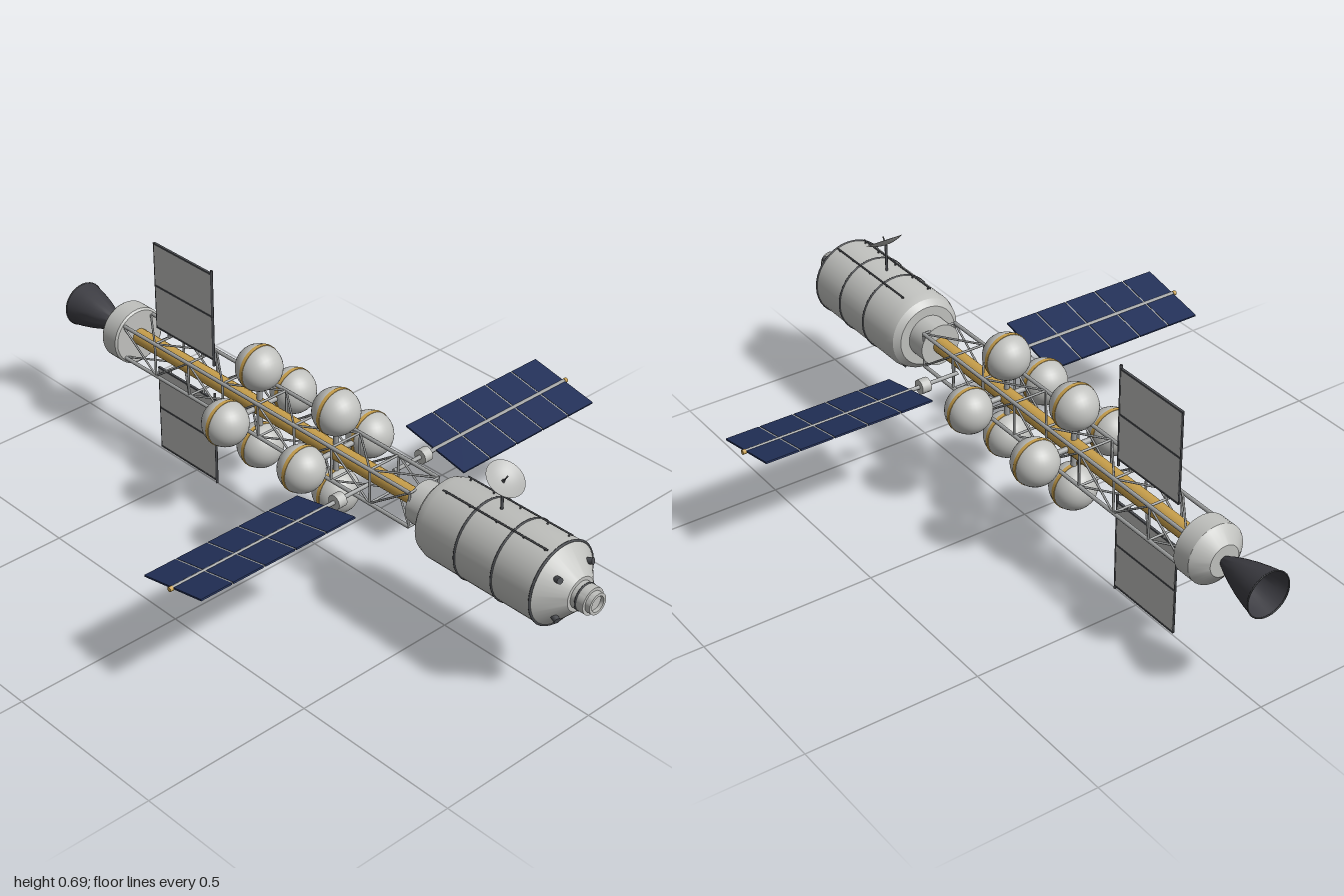
import * as THREE from 'three';
import { toCreasedNormals } from 'three/addons/utils/BufferGeometryUtils.js';

const AXIS = 0.345; // height of the ship's centre line
const mat = (name, color, side = THREE.FrontSide) => {
  const m = new THREE.MeshStandardMaterial({ color, side });
  m.name = name;
  return m;
};

export function createModel() {
  const hull = mat('hull grey', 0xc0c1be);
  const metal = mat('truss grey', 0xa2a4a4);
  const dark = mat('dark fittings', 0x4c4e52);
  const gold = mat('gold foil', 0xc9a04c);
  const navy = mat('solar blue', 0x223058);
  const radiatorGrey = mat('radiator grey', 0xbdbebc);
  const nozzleBlack = mat('nozzle black', 0x3c3c42, THREE.DoubleSide);
  const dishGrey = mat('dish grey', 0xb4b5b3, THREE.DoubleSide);

  const model = new THREE.Group();
  model.name = 'spacecraft';
  const ship = new THREE.Group();
  ship.name = 'ship';
  ship.position.y = AXIS;
  model.add(ship);

  const group = (name, parent = ship) => {
    const g = new THREE.Group();
    g.name = name;
    parent.add(g);
    return g;
  };
  const add = (parent, name, geo, material, x = 0, y = 0, z = 0) => {
    const m = new THREE.Mesh(geo, material);
    m.name = name;
    m.position.set(x, y, z);
    parent.add(m);
    return m;
  };
  const V = (x, y, z) => new THREE.Vector3(x, y, z);
  const rod = (parent, name, a, b, r, material, sides = 6) => {
    const d = b.clone().sub(a);
    const m = add(parent, name, new THREE.CylinderGeometry(r, r, d.length(), sides), material);
    m.position.copy(a).addScaledVector(d, 0.5);
    m.quaternion.setFromUnitVectors(V(0, 1, 0), d.normalize());
    return m;
  };
  // profile is [radius, z] with z rising
  const lathe = (parent, name, profile, material, sides = 40) =>
    add(parent, name, toCreasedNormals(new THREE.LatheGeometry(
      profile.map(([r, z]) => new THREE.Vector2(r, z)), sides).rotateX(Math.PI / 2), 0.4), material);
  const box = (w, h, d) => new THREE.BoxGeometry(w, h, d);

  // Crew module
  const crew = group('crewModule');
  lathe(crew, 'pressureHull', [[0, 0.405], [0.062, 0.405], [0.062, 0.47], [0.09, 0.47], [0.107, 0.485],
    [0.115, 0.51], [0.115, 0.882], [0.048, 0.945], [0, 0.945]], hull);
  lathe(crew, 'dockingPort', [[0.038, 0.94], [0.038, 0.985], [0.03, 0.985], [0.03, 1], [0.022, 1],
    [0.022, 0.99], [0, 0.99]], hull, 28);
  for (const z of [0.63, 0.755, 0.882])
    add(crew, 'hullBand', new THREE.TorusGeometry(0.1145, 0.0035, 6, 40), dark, 0, 0, z);
  add(crew, 'portRing', new THREE.TorusGeometry(0.037, 0.003, 6, 28), dark, 0, 0, 0.96);
  for (const sx of [-1, 1]) for (const sy of [-1, 1]) {
    const x = 0.045 * sx, y = 0.113 * sy;
    rod(crew, 'handrail', V(x, y, 0.52), V(x, y, 0.87), 0.0025, dark);
    for (const z of [0.53, 0.61, 0.7, 0.79, 0.86])
      rod(crew, 'railPost', V(x * 0.93, y * 0.93, z), V(x, y, z), 0.0025, dark);
    // Small thrusters on the nose cone
    rod(crew, 'thruster', V(0.052 * sx, 0.052 * sy, 0.9), V(0.06 * sx, 0.06 * sy, 0.928), 0.009, dark, 10);
  }

  // Antenna on its mast
  const antenna = group('antenna');
  rod(antenna, 'mast', V(0, 0.11, 0.677), V(0, 0.2, 0.677), 0.004, dark, 8);
  const dish = group('dishAssembly', antenna);
  dish.position.set(0, 0.196, 0.677);
  dish.rotation.x = 0.56;
  add(dish, 'dish', new THREE.LatheGeometry([0, 0.2, 0.4, 0.6, 0.8, 1].map(
    t => new THREE.Vector2(0.054 * t, 0.014 * t * t)), 28), dishGrey);
  rod(dish, 'feed', V(0, 0, 0), V(0, 0.026, 0), 0.002, dark);

  // Truss around the gold spine
  const truss = group('truss');
  const z0 = -0.75, bays = 8, bay = 1.16 / bays, h = 0.052;
  rod(truss, 'spine', V(0, 0, z0), V(0, 0, 0.41), 0.024, gold, 16);
  for (let side = 0; side < 4; side++) {
    const face = group('trussFace', truss);
    face.rotation.z = side * Math.PI / 2;
    rod(face, 'longeron', V(h, h, z0), V(h, h, 0.41), 0.0055, metal, 8);
    for (let i = 0; i <= bays; i++) {
      const z = z0 + i * bay, s = i % 2 ? 1 : -1;
      rod(face, 'batten', V(-h, h, z), V(h, h, z), 0.0035, metal);
      if (i < bays) rod(face, 'diagonal', V(-h * s, h, z), V(h * s, h, z + bay), 0.003, metal);
    }
  }

  // Two rings of four spherical tanks
  for (const z of [0.083, -0.221]) for (let i = 0; i < 4; i++) {
    const tank = group('tank');
    tank.rotation.z = i * Math.PI / 2;
    tank.position.z = z;
    add(tank, 'tankShell', new THREE.SphereGeometry(0.066, 32, 20), hull, 0.124, 0, 0);
    add(tank, 'tankBand', new THREE.CylinderGeometry(0.0672, 0.0672, 0.011, 32).rotateX(Math.PI / 2), gold, 0.124, 0, 0);
    rod(tank, 'tankMount', V(0.02, 0, 0), V(0.07, 0, 0), 0.008, metal, 8);
  }

  // Solar wings, turned opposite ways
  for (const s of [-1, 1]) {
    const wing = group(s > 0 ? 'leftSolarWing' : 'rightSolarWing');
    wing.position.z = 0.255;
    wing.rotation.x = 0.2 * s;
    rod(wing, 'boom', V(0.045 * s, 0, 0), V(0.715 * s, 0, 0), 0.006, metal, 8);
    rod(wing, 'gimbal', V(0.142 * s, 0, 0), V(0.17 * s, 0, 0), 0.021, hull, 16);
    rod(wing, 'boomTip', V(0.708 * s, 0, 0), V(0.718 * s, 0, 0), 0.007, gold, 8);
    for (let i = 0; i < 5; i++) {
      const x = s * (0.195 + 0.103 * (i + 0.5));
      for (const k of [-1, 1])
        add(wing, 'solarPanel', box(0.098, 0.005, 0.108), navy, x, 0, k * 0.0565);
      if (i) add(wing, 'panelHinge', box(0.004, 0.004, 0.216), metal, x - s * 0.0515, 0, 0);
    }
  }

  // Radiators above and below the truss
  for (const s of [-1, 1]) {
    const rad = group(s > 0 ? 'upperRadiator' : 'lowerRadiator');
    for (const y of [0.134, 0.269])
      add(rad, 'radiatorPanel', box(0.005, 0.129, 0.24), radiatorGrey, 0, s * y, -0.533);
    for (const y of [0.067, 0.2015, 0.334])
      add(rad, 'radiatorRail', box(0.007, 0.005, 0.246), dark, 0, s * y, -0.533);
    rod(rad, 'radiatorPost', V(0, 0.045 * s, -0.411), V(0, 0.345 * s, -0.411), 0.004, dark);
    rod(rad, 'radiatorEdge', V(0, 0.067 * s, -0.655), V(0, 0.334 * s, -0.655), 0.003, dark);
    for (const z of [-0.46, -0.605])
      rod(rad, 'radiatorFoot', V(0, h * s, z), V(0, 0.07 * s, z), 0.004, metal);
  }

  // Engine block and bell
  const engine = group('engine');
  lathe(engine, 'engineBlock', [[0, -0.835], [0.045, -0.835], [0.083, -0.805], [0.086, -0.8],
    [0.086, -0.745], [0.08, -0.74], [0, -0.74]], hull);
  lathe(engine, 'bell', [[0.066, -1], [0.059, -0.965], [0.049, -0.925], [0.037, -0.888],
    [0.024, -0.855], [0.012, -0.83]], nozzleBlack, 32);
  add(engine, 'bellRim', new THREE.TorusGeometry(0.065, 0.002, 6, 32), dark, 0, 0, -0.998);

  return model;
}
